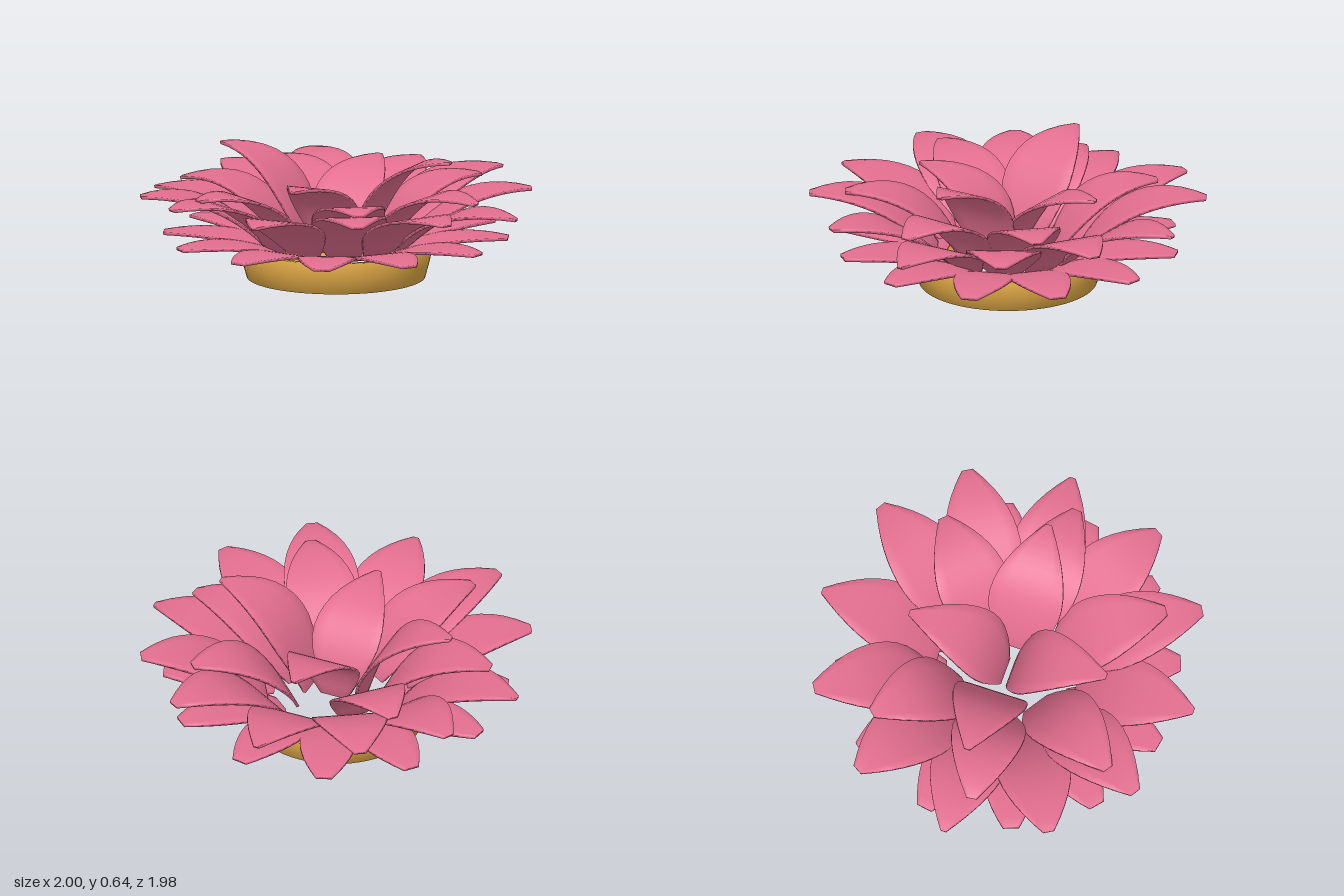
import * as THREE from 'three';
import { mergeVertices } from 'three/addons/utils/BufferGeometryUtils.js';

const pink = new THREE.MeshStandardMaterial({ color: 0xe36e90 });
pink.name = 'petal pink';
const gold = new THREE.MeshStandardMaterial({ color: 0xe3ab47 });
gold.name = 'ring gold';

// Thin petal growing toward +z, bent along base -> ctrl -> tip, each [radius, height]
function petalGeometry({ base, ctrl, tip, half, blunt = 0.08, power = 1.9 }) {
  const thick = 0.015;
  const curve = new THREE.QuadraticBezierCurve(
    new THREE.Vector2(...base), new THREE.Vector2(...ctrl), new THREE.Vector2(...tip));
  const box = new THREE.BoxGeometry(1, 1, 1, 6, 1, 12);
  box.deleteAttribute('normal');
  box.deleteAttribute('uv');
  const geo = mergeVertices(box); // shared corners give soft, pillowed edges
  const pos = geo.attributes.position;
  for (let i = 0; i < pos.count; i++) {
    const t = pos.getZ(i) + 0.5;
    const width = t < 0.4
      ? 0.4 + 0.6 * Math.sin((Math.PI / 2) * (t / 0.4))
      : 1 - (1 - blunt) * Math.pow((t - 0.4) / 0.6, power);
    const p = curve.getPoint(t);
    const d = curve.getTangent(t);
    const off = pos.getY(i) * thick;
    pos.setXYZ(i, pos.getX(i) * 2 * half * width, p.y + d.x * off, p.x - d.y * off);
  }
  geo.computeVertexNormals();
  return geo;
}

export function createModel() {
  const model = new THREE.Group();
  model.name = 'lotusFlower';

  // Places one petal shape at each listed angle, in degrees from the front
  function addPetals(name, angles, shape) {
    const geo = petalGeometry(shape);
    angles.forEach((a) => {
      const mesh = new THREE.Mesh(geo, pink);
      mesh.name = name;
      mesh.rotation.y = THREE.MathUtils.degToRad(a);
      model.add(mesh);
    });
  }

  // Flared base ring, open in the middle
  const profile = [[0.42, 0], [0.45, 0], [0.472, 0.08], [0.49, 0.165], [0.46, 0.165], [0.44, 0.08], [0.42, 0]];
  const ring = new THREE.Mesh(
    new THREE.LatheGeometry(profile.map(([x, y]) => new THREE.Vector2(x, y)), 64), gold);
  ring.name = 'baseRing';
  model.add(ring);

  // Lowest flat tier, turned ten degrees
  addPetals('lowerPetal', Array.from({ length: 12 }, (_, i) => i * 30 - 10),
    { base: [0.31, 0.145], ctrl: [0.55, 0.24], tip: [0.87, 0.212], half: 0.145, blunt: 0.28, power: 2.2 });

  // Widest tier, lifted by differing amounts around the flower
  const outer = { base: [0.36, 0.17], half: 0.19 };
  addPetals('outerSidePetal', [90, 270], { ...outer, ctrl: [0.62, 0.46], tip: [1, 0.375] });
  addPetals('outerEndPetal', [0, 180], { ...outer, ctrl: [0.62, 0.48], tip: [0.99, 0.43] });
  addPetals('outerLowPetal', [59, 121, 239, 301],
    { ...outer, ctrl: [0.62, 0.48], tip: [0.99, 0.43], blunt: 0.15, power: 2.1 });
  addPetals('outerHighPetal', [31, 149, 211, 329],
    { ...outer, ctrl: [0.6, 0.52], tip: [1, 0.455], blunt: 0.15, power: 2.1 });

  // Middle tier, mirrored left and right
  const middle = { base: [0.23, 0.14], half: 0.185, blunt: 0.14, power: 2 };
  addPetals('middleFrontPetal', [33, -33], { ...middle, ctrl: [0.43, 0.54], tip: [0.82, 0.477] });
  addPetals('middleSidePetal', [84, -84], { ...middle, ctrl: [0.44, 0.57], tip: [0.82, 0.455] });
  addPetals('middleBackPetal', [134, -134], { ...middle, ctrl: [0.41, 0.54], tip: [0.77, 0.475] });

  // Steep inner petals
  addPetals('innerSidePetal', [90, 270],
    { base: [0.14, 0.13], ctrl: [0.24, 0.65], tip: [0.635, 0.635], half: 0.19 });
  addPetals('innerEndPetal', [0, 180],
    { base: [0.02, 0.12], ctrl: [0.09, 0.55], tip: [0.525, 0.527], half: 0.18 });

  return model;
}
